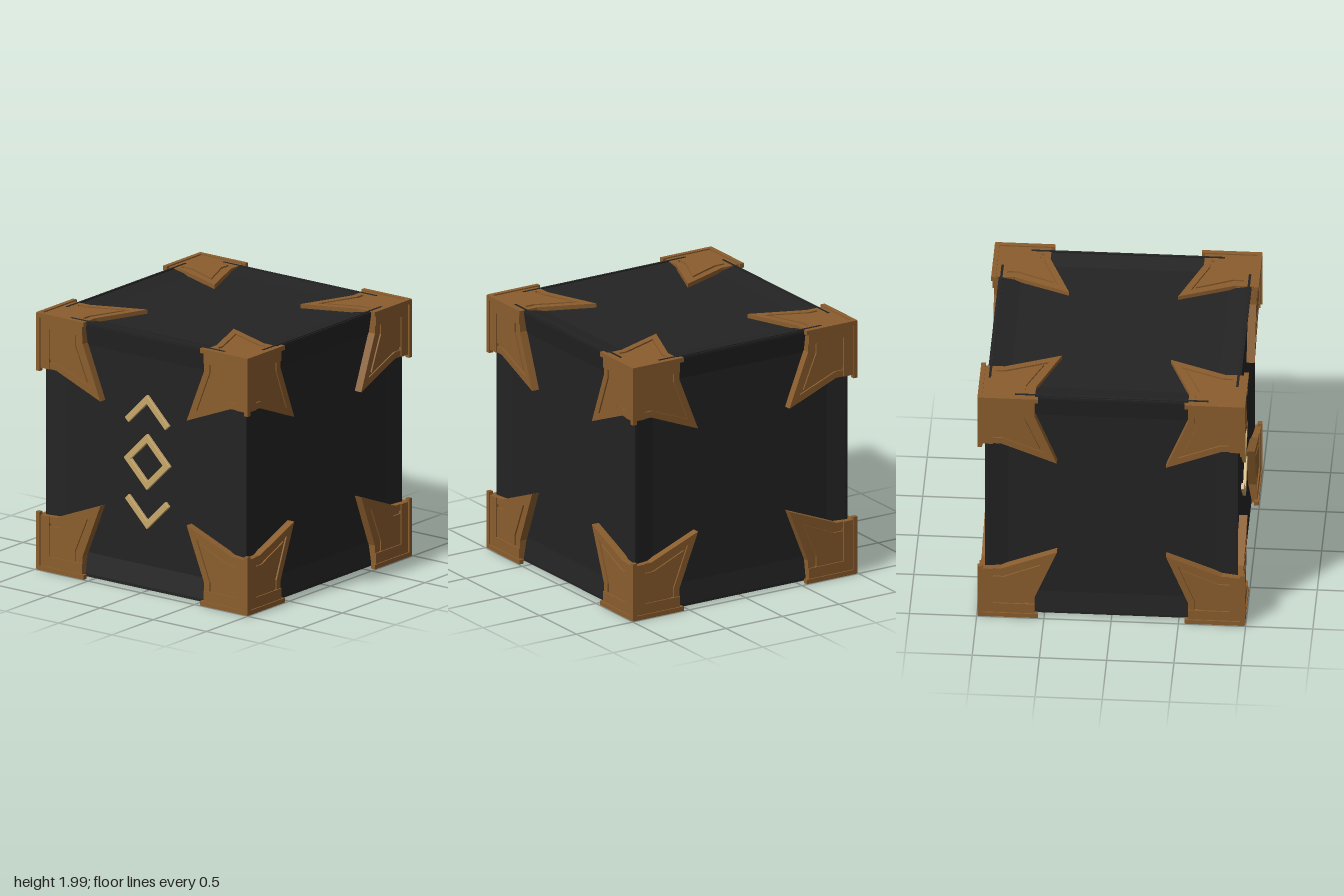
import * as THREE from 'three';
import { mergeGeometries } from 'three/addons/utils/BufferGeometryUtils.js';
import { RoundedBoxGeometry } from 'three/addons/geometries/RoundedBoxGeometry.js';

const mat = (name, color) => Object.assign(new THREE.MeshStandardMaterial({ color }), { name });

// axis swaps that carry a front-facing piece to the front, side and top faces
const swaps = [
  (u, v, w) => [u, v, w],
  (u, v, w) => [w, u, v],
  (u, v, w) => [v, w, u],
];

// cube whose faces have a thin rim, a sloped border and a sunken panel
function bodyGeometry() {
  const rings = [[1, 1], [0.98, 1], [0.82, 0.972]];
  const corners = [[-1, -1], [1, -1], [1, 1], [-1, 1]];
  const pos = [];
  for (const swap of swaps) for (const side of [1, -1]) {
    const quad = (a, b, c, d) => {
      const order = side > 0 ? [a, b, c, a, c, d] : [a, c, b, a, d, c];
      for (const p of order) pos.push(...swap(p[0], p[1], p[2] * side));
    };
    const at = (r, i) => [corners[i % 4][0] * rings[r][0], corners[i % 4][1] * rings[r][0], rings[r][1]];
    for (let r = 0; r < 2; r++)
      for (let i = 0; i < 4; i++) quad(at(r, i), at(r, i + 1), at(r + 1, i + 1), at(r + 1, i));
    quad(at(2, 0), at(2, 1), at(2, 2), at(2, 3));
  }
  const g = new THREE.BufferGeometry();
  g.setAttribute('position', new THREE.Float32BufferAttribute(pos, 3));
  g.scale(0.94, 0.98, 0.94);
  g.computeVertexNormals();
  return g;
}

// three pointed plates and three edge rails around the (+,+,+) corner
function braceGeometry() {
  const pts = (list) => list.map(([x, y]) => new THREE.Vector2(x, y));
  const outline = pts([[0.985, 0.985], [0.57, 0.985], [0.57, 0.82], [0.405, 0.405], [0.82, 0.57], [0.985, 0.57]]);
  const groove = pts([
    [0.905, 0.725], [0.905, 0.645], [0.80, 0.645], [0.53, 0.53], [0.645, 0.80], [0.645, 0.905], [0.725, 0.905],
    [0.725, 0.935], [0.62, 0.935], [0.62, 0.81], [0.495, 0.495], [0.81, 0.62], [0.935, 0.62], [0.935, 0.725],
  ]);
  const grooved = new THREE.Shape(outline);
  grooved.holes.push(new THREE.Path(groove));
  const extrude = (shape, from, to) =>
    new THREE.ExtrudeGeometry(shape, { depth: to - from, bevelEnabled: false }).translate(0, 0, from);
  const parts = [];
  swaps.forEach((swap, k) => {
    const lift = k === 2 ? 0.01 : 0;
    const pieces = [
      extrude(new THREE.Shape(outline), 0.88, 0.963 + lift),
      extrude(grooved, 0.963 + lift, 0.975 + lift),
      new THREE.BoxGeometry(0.035, 0.445, 0.035).translate(0.9775, 0.7675, 0.9775).toNonIndexed(),
    ];
    const m = new THREE.Matrix4().makeBasis(
      new THREE.Vector3(...swap(1, 0, 0)), new THREE.Vector3(...swap(0, 1, 0)), new THREE.Vector3(...swap(0, 0, 1)));
    for (const p of pieces) parts.push(p.applyMatrix4(m));
  });
  const g = mergeGeometries(parts);
  g.clearGroups();
  g.deleteAttribute('uv');
  return g;
}

// mirrored copy with corner order kept outward
function mirrored(source, sx, sy, sz) {
  const g = source.clone().scale(sx, sy, sz);
  if (sx * sy * sz < 0) {
    const a = g.attributes.position.array;
    for (let i = 0; i < a.length; i += 9)
      for (let j = 0; j < 3; j++) [a[i + 3 + j], a[i + 6 + j]] = [a[i + 6 + j], a[i + 3 + j]];
  }
  g.computeVertexNormals();
  return g;
}

export function createModel() {
  const model = new THREE.Group();
  model.name = 'crate';
  const dark = mat('charcoal', 0x232323);
  const bronze = mat('bronze', 0x8a5d2d);
  const gold = mat('pale gold', 0xc8a869);
  const add = (name, geometry, material, parent = model) => {
    const mesh = new THREE.Mesh(geometry, material);
    mesh.name = name;
    parent.add(mesh);
    return mesh;
  };

  add('body', bodyGeometry(), dark).position.y = 1;

  // thin edge ribs on the lid and the base
  for (const y of [1.9785, 0.0215]) for (const s of [-1, 1]) {
    add('edgeRib', new THREE.BoxGeometry(0.018, 0.017, 1.44), dark).position.set(s * 0.92, y, 0);
    add('edgeRib', new THREE.BoxGeometry(1.44, 0.017, 0.018), dark).position.set(0, y, s * 0.92);
  }

  // eight corner braces
  const brace = braceGeometry();
  for (const x of [-1, 1]) for (const y of [-1, 1]) for (const z of [-1, 1])
    add('cornerBrace', mirrored(brace, x, y, z), bronze).position.y = 1;

  // front emblem: a diamond between two chevrons
  const emblem = new THREE.Group();
  emblem.name = 'emblem';
  model.add(emblem);
  const arm = (x1, y1, x2, y2) => {
    const length = Math.hypot(x2 - x1, y2 - y1);
    const bar = add('emblemBar', new RoundedBoxGeometry(length + 0.025, 0.05, 0.035, 1, 0.005), gold, emblem);
    const angle = Math.atan2(y2 - y1, x2 - x1);
    bar.rotation.z = angle;
    // lengthened at its first end so that mitres close
    bar.position.set((x1 + x2) / 2 - Math.cos(angle) * 0.0125, (y1 + y2) / 2 - Math.sin(angle) * 0.0125, 0.92);
  };
  for (const s of [-1, 1]) {
    arm(0, 1.485, s * 0.19, 1.295);
    arm(0, 0.515, s * 0.19, 0.705);
    arm(0, 1.183, s * 0.2, 0.983);
    arm(0, 0.817, s * 0.2, 1.017);
  }
  return model;
}
